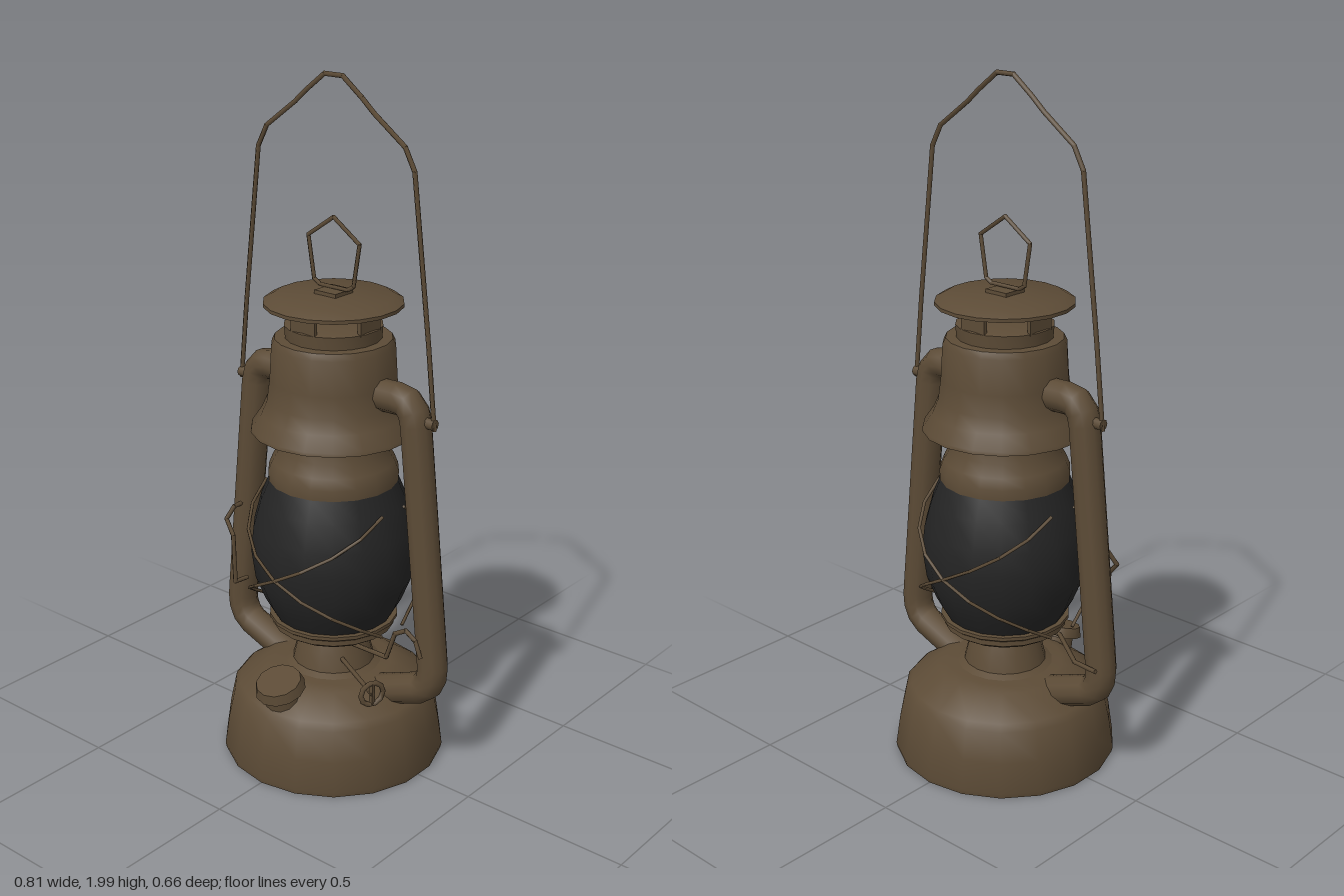
import * as THREE from 'three';
import { toCreasedNormals } from 'three/addons/utils/BufferGeometryUtils.js';

const metal = new THREE.MeshStandardMaterial({ color: 0x5c4b36 });
metal.name = 'bronze metal';
const glass = new THREE.MeshStandardMaterial({ color: 0x242424 });
glass.name = 'dark glass';

const V = (x, y, z = 0) => new THREE.Vector3(x, y, z);

export function createModel() {
  const lantern = new THREE.Group();
  lantern.name = 'lantern';

  function add(name, geometry, material = metal, parent = lantern) {
    const mesh = new THREE.Mesh(geometry, material);
    mesh.name = name;
    parent.add(mesh);
    return mesh;
  }
  // Turned part from [radius, height] pairs, listed bottom to top
  function turned(name, profile, material = metal, sides = 18) {
    const points = profile.map(([r, y]) => new THREE.Vector2(r, y));
    return add(name, toCreasedNormals(new THREE.LatheGeometry(points, sides), 0.65), material);
  }
  // Wire or pipe with straight runs between corner points
  function wire(name, points, radius, sides = 5, closed = false) {
    const path = new THREE.CurvePath();
    const n = points.length;
    for (let i = 0; i < (closed ? n : n - 1); i++) {
      path.add(new THREE.LineCurve3(points[i], points[(i + 1) % n]));
    }
    const group = new THREE.Group();
    group.name = name;
    path.curves.forEach((c) => {
      const length = c.getLength();
      const rod = add(name + 'Segment', new THREE.CylinderGeometry(radius, radius, length + radius * 0.6, sides), metal, group);
      rod.position.copy(c.getPoint(0.5));
      rod.quaternion.setFromUnitVectors(V(0, 1), c.getTangent(0));
    });
    lantern.add(group);
    return group;
  }

  // Fuel tank and burner
  turned('fuelTank', [[0, 0.005], [0.325, 0.005], [0.328, 0.02], [0.315, 0.11], [0.296, 0.2],
    [0.28, 0.218], [0.2, 0.272], [0.17, 0.28], [0, 0.28]]);
  turned('burnerCone', [[0.15, 0.275], [0.12, 0.29], [0.108, 0.34], [0.085, 0.4], [0, 0.4]]);
  turned('globePlate', [[0, 0.395], [0.155, 0.395], [0.178, 0.41], [0.178, 0.425],
    [0.188, 0.432], [0.188, 0.442], [0, 0.442]]);

  // Globe
  turned('globe', [[0.172, 0.44], [0.2, 0.49], [0.228, 0.56], [0.24, 0.65],
    [0.232, 0.72], [0.21, 0.8], [0.185, 0.86]], glass);

  // Chimney, hood and vented cap
  turned('chimneyCollar', [[0, 0.855], [0.185, 0.855], [0.187, 0.89], [0.175, 0.92],
    [0.155, 0.955], [0.15, 1.03]]);
  turned('hood', [[0, 1.03], [0.15, 1.03], [0.235, 1.01], [0.233, 1.02], [0.205, 1.06],
    [0.188, 1.1], [0.18, 1.16], [0.174, 1.26], [0.165, 1.278], [0, 1.282]]);
  turned('ventBase', [[0, 1.275], [0.135, 1.275], [0.138, 1.315], [0.12, 1.322], [0, 1.322]]);
  for (let i = 0; i < 4; i++) {
    const post = add('ventPost', new THREE.BoxGeometry(0.085, 0.065, 0.012));
    const a = i * Math.PI / 2;
    post.position.set(Math.sin(a) * 0.125, 1.343, Math.cos(a) * 0.125);
    post.rotation.y = a;
  }
  turned('cap', [[0, 1.362], [0.135, 1.362], [0.195, 1.37], [0.195, 1.38], [0.165, 1.396], [0, 1.402]]);
  add('ringMount', new THREE.BoxGeometry(0.075, 0.012, 0.075)).position.y = 1.405;
  wire('liftingRing', [V(0, 1.612), V(0.09, 1.55), V(0.07, 1.43), V(0.05, 1.418),
    V(-0.05, 1.418), V(-0.07, 1.43), V(-0.09, 1.55)], 0.006, 5, true);

  // Side air tubes
  for (const s of [1, -1]) {
    const path = new THREE.CurvePath();
    const corners = [V(0.13, 1.145), V(0.235, 1.148), V(0.29, 1.08), V(0.362, 0.39), V(0.325, 0.295), V(0.17, 0.235)]
      .map((p) => p.setX(p.x * s));
    path.add(new THREE.LineCurve3(corners[0], corners[1]));
    path.add(new THREE.QuadraticBezierCurve3(corners[1], V(0.285 * s, 1.148), corners[2]));
    path.add(new THREE.LineCurve3(corners[2], corners[3]));
    path.add(new THREE.QuadraticBezierCurve3(corners[3], V(0.37 * s, 0.32), corners[4]));
    path.add(new THREE.LineCurve3(corners[4], corners[5]));
    add(s > 0 ? 'leftAirTube' : 'rightAirTube', new THREE.TubeGeometry(path, 36, 0.045, 10));
    // Bail pivot
    const pivot = add('bailPivot', new THREE.CylinderGeometry(0.016, 0.016, 0.06, 8));
    pivot.position.set(0.323 * s, 1.1, 0);
    pivot.rotation.z = Math.PI / 2;
  }

  // Carrying bail
  const half = [V(0.35, 1.085), V(0.325, 1.32), V(0.27, 1.77), V(0.238, 1.83), V(0.135, 1.905), V(0.095, 1.94), V(0.03, 1.99)];
  wire('bail', [...half, ...half.map((p) => V(-p.x, p.y)).reverse()], 0.007);

  // Crossed guard wires, front and back
  for (const turn of [0, Math.PI]) {
    for (const s of [1, -1]) {
      const points = [];
      for (let i = 0; i <= 8; i++) {
        const t = i / 8;
        const a = turn + s * (t - 0.5) * 2.7;
        const r = 0.2 + 0.058 * Math.sin(Math.PI * (0.12 + t * 0.76));
        points.push(V(Math.sin(a) * r, 0.44 + t * 0.37, Math.cos(a) * r));
      }
      wire('guardWire', points, 0.005);
    }
  }

  // Filler cap, tilted outward
  const filler = new THREE.Group();
  filler.name = 'fillerCap';
  filler.position.set(0, 0.27, 0.235);
  filler.rotation.x = 0.3;
  add('fillerNeck', new THREE.CylinderGeometry(0.05, 0.055, 0.06, 12), metal, filler).position.y = -0.02;
  add('fillerLid', toCreasedNormals(new THREE.CylinderGeometry(0.066, 0.074, 0.03, 12), 0.65), metal, filler).position.y = 0.022;
  lantern.add(filler);

  // Wick adjuster
  wire('wickShaft', [V(0.06, 0.33, 0.05), V(0.275, 0.325, 0.16)], 0.007);
  const knob = add('wickKnob', new THREE.TorusGeometry(0.034, 0.008, 5, 10));
  knob.position.set(0.272, 0.325, 0.158);
  knob.rotation.y = 1.1;
  const spoke = add('wickKnobSpoke', new THREE.BoxGeometry(0.012, 0.065, 0.012));
  spoke.position.copy(knob.position);

  // Globe lifting lever and its side clip
  wire('globeLever', [V(-0.39, 0.4, -0.06), V(-0.3, 0.39, -0.04), V(-0.16, 0.39, 0.06), V(0.245, 0.39, 0.06),
    V(0.275, 0.475, 0.06), V(0.31, 0.495, 0.058), V(0.345, 0.475, 0.06), V(0.365, 0.43, 0.062)], 0.007);
  wire('sideClip', [V(-0.3, 0.465, 0.05), V(-0.3, 0.47, 0.1), V(-0.305, 0.62, 0.1),
    V(-0.34, 0.66, 0.09), V(-0.325, 0.7, 0.07), V(-0.325, 0.7, 0.03)], 0.007);

  return lantern;
}
